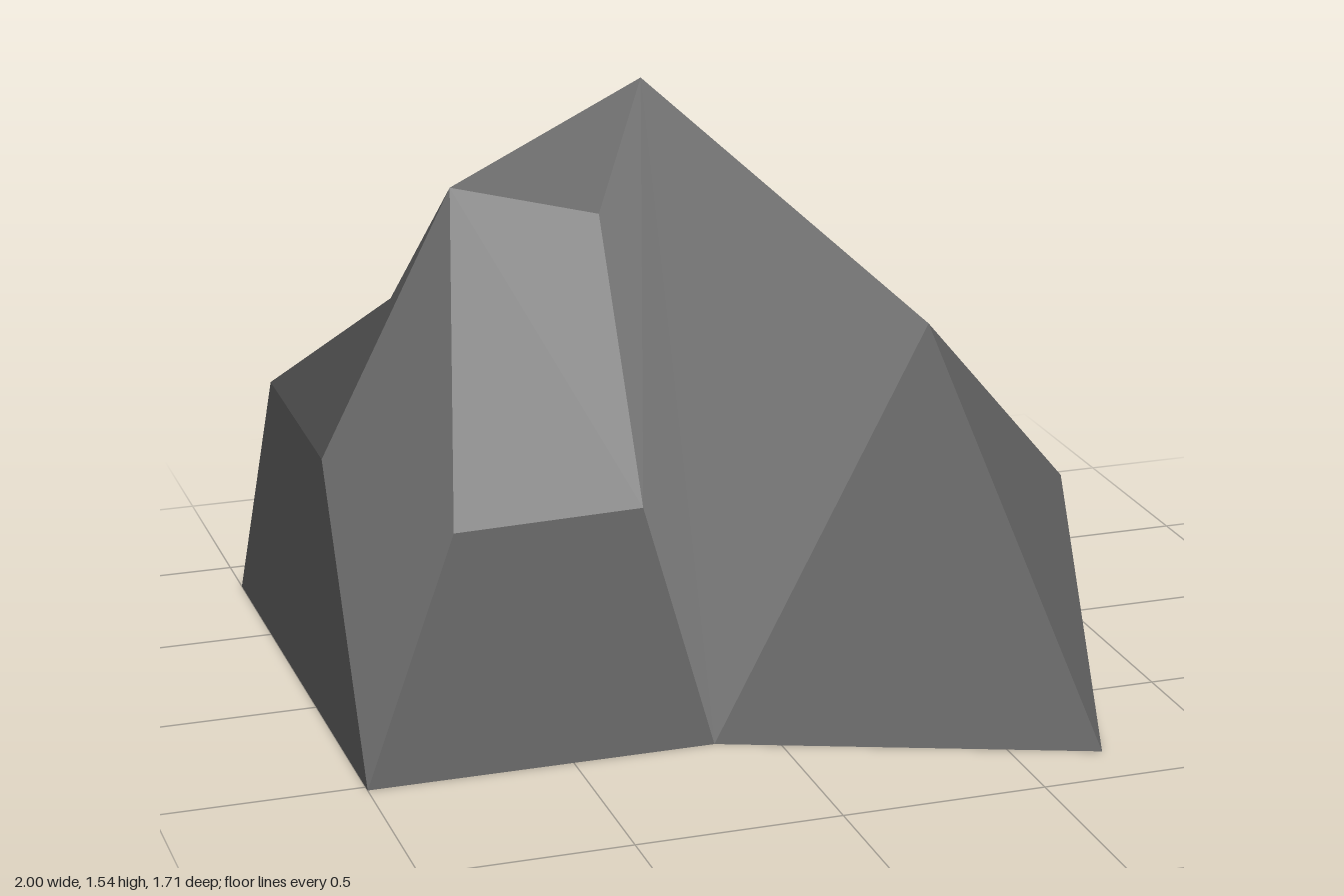
import * as THREE from 'three';

// Corner points of the boulder, grouped by height
const P = {
  // ground outline
  A: [-1, 0, 0.52], B: [-0.15, 0, 0.52], C: [0.71, 0, 0.853],
  D: [1, 0, -0.07], E: [0.38, 0, -0.855], F: [-1, 0, -0.855],
  // middle ring
  T: [0.8, 0.52, 0.36], U: [0.595, 0.65, -0.405], G: [-0.6, 0.78, -0.768],
  Z: [-1, 0.71, -0.4], R: [-1, 0.69, 0.145], W: [-0.76, 0.58, 0.44], X: [-0.3, 0.59, 0.44],
  // upper ring and peak
  S: [0.38, 1.0, 0.52], V: [0.07, 1.19, -0.305], Q: [-0.635, 1.28, -0.01],
  Y: [-0.345, 1.26, 0.25], K: [-0.2, 1.545, 0.12],
};

// Facets, each listed by its corners in order around the edge;
// the first corner is where its triangles meet
const FACETS = {
  front: ['ABXW', 'XYQW', 'KYXBS', 'SBC', 'QYK'],
  leftCut: ['AWQR', 'AFZR'],
  right: ['VKSTU', 'STC', 'TDC', 'TUD'],
  back: ['UDEV', 'VEG', 'GEF', 'VGQK', 'GQRZF'],
};

// Fan each facet into triangles facing away from the core, with one normal per facet
function buildFacets(facets) {
  const core = new THREE.Vector3(0, 0.4, 0);
  const positions = [];
  const normals = [];
  for (const facet of facets) {
    const pts = [...facet].map((k) => new THREE.Vector3(...P[k]));
    const normal = new THREE.Vector3();
    pts.forEach((p, i) => normal.add(p.clone().cross(pts[(i + 1) % pts.length])));
    normal.normalize();
    const inward = normal.dot(pts[0].clone().sub(core)) < 0;
    if (inward) normal.negate();
    for (let i = 1; i < pts.length - 1; i++) {
      const tri = [pts[0], pts[i], pts[i + 1]];
      if (inward) tri.reverse();
      for (const p of tri) {
        positions.push(...p.toArray());
        normals.push(...normal.toArray());
      }
    }
  }
  const geometry = new THREE.BufferGeometry();
  geometry.setAttribute('position', new THREE.Float32BufferAttribute(positions, 3));
  geometry.setAttribute('normal', new THREE.Float32BufferAttribute(normals, 3));
  return geometry;
}

export function createModel() {
  const stone = new THREE.MeshStandardMaterial({ color: 0x626262, side: THREE.DoubleSide });
  stone.name = 'dark grey stone';

  // Hollow shell, open underneath
  const rock = new THREE.Group();
  rock.name = 'boulder';
  for (const [side, facets] of Object.entries(FACETS)) {
    const mesh = new THREE.Mesh(buildFacets(facets), stone);
    mesh.name = `${side}Facets`;
    rock.add(mesh);
  }
  return rock;
}
